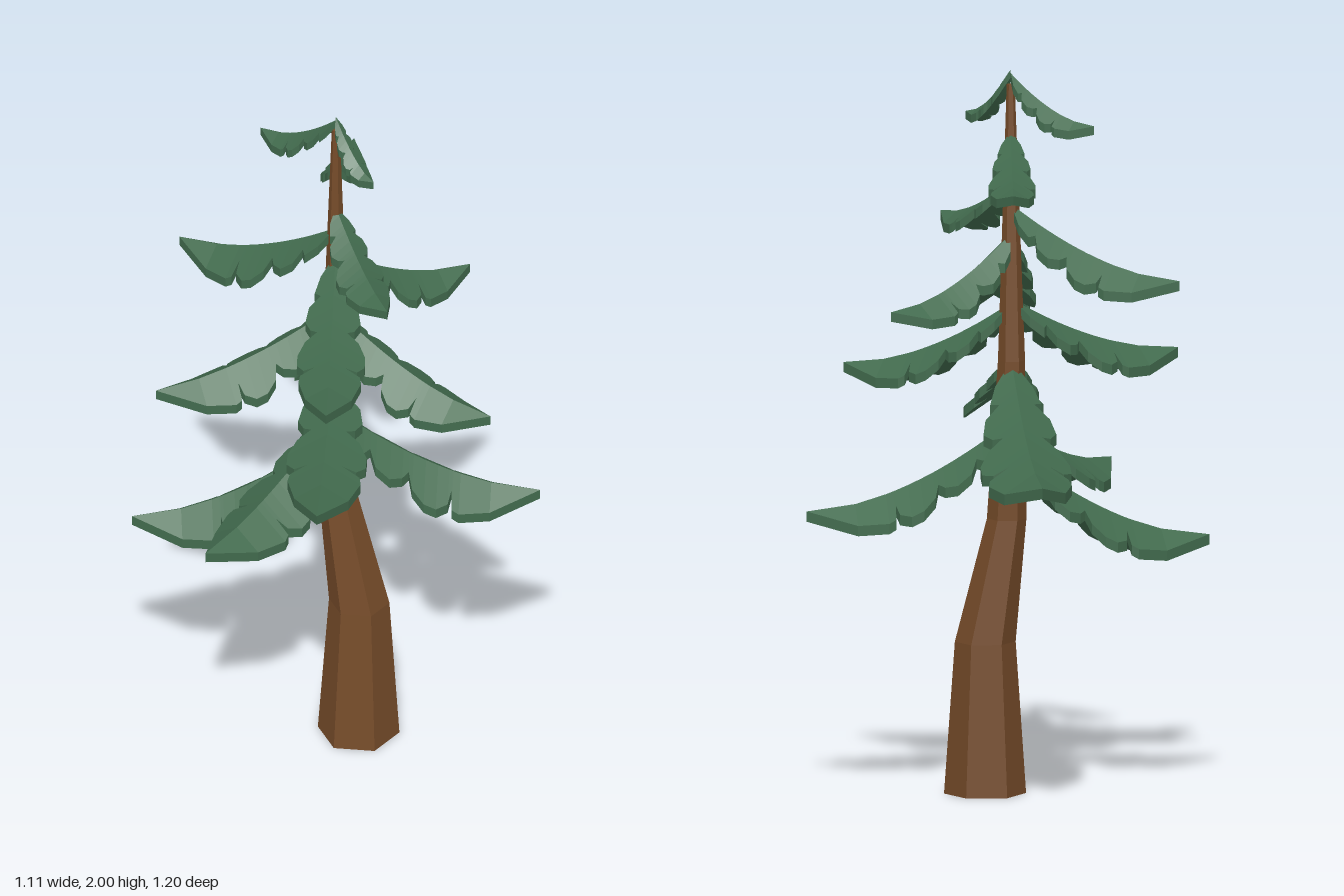
import * as THREE from 'three';

const bark = new THREE.MeshStandardMaterial({ color: 0x754b29, flatShading: true });
const needles = new THREE.MeshStandardMaterial({ color: 0x426b4e, flatShading: true });

// Trunk rings: height, centre x, centre z, radius
const RINGS = [
  [0, 0.06, 0.085, 0.112],
  [0.42, 0.06, 0.073, 0.083],
  [0.76, 0.002, 0.065, 0.054],
  [1.2, -0.01, 0.037, 0.037],
  [1.96, -0.008, 0.043, 0.011],
];

// Branches: root height, then tip x, y, z
const BRANCHES = [
  [0.96, -0.555, 0.70, 0.15],
  [1.03, 0.55, 0.79, 0.015],
  [1.04, -0.305, 0.86, 0.53],
  [1.20, -0.065, 0.94, -0.60],
  [1.21, 0.01, 1.06, 0.60],
  [1.36, 0.44, 1.17, 0.225],
  [1.37, -0.475, 1.20, 0.26],
  [1.54, 0.025, 1.34, 0.52],
  [1.55, 0.33, 1.37, -0.205],
  [1.63, -0.46, 1.44, -0.135],
  [1.70, 0.17, 1.57, 0.335],
  [1.83, 0, 1.70, -0.29],
  [1.99, -0.23, 1.86, -0.08],
  [2.0, 0.11, 1.87, 0.155],
];

// Half outline of a branch from root to tip: position along it, half width
const OUTLINE = [
  [0, 0], [0.07, 0.45], [0.14, 0.62], [0.17, 0.42], [0.2, 0.78], [0.27, 0.88], [0.33, 0.7],
  [0.36, 0.48], [0.38, 0.85], [0.44, 1.08], [0.5, 1.08], [0.555, 0.85],
  [0.57, 0.48], [0.575, 0.95], [0.61, 1], [0.76, 0.74], [1, 0],
];

function trunkGeometry() {
  const n = RINGS.length - 1;
  const geo = new THREE.CylinderGeometry(1, 1, n, 6, n, false, Math.PI / 2);
  const p = geo.attributes.position;
  for (let i = 0; i < p.count; i++) {
    const [y, x, z, r] = RINGS[Math.round(p.getY(i) + n / 2)];
    p.setXYZ(i, x + p.getX(i) * r, y, z + p.getZ(i) * r);
  }
  geo.computeVertexNormals();
  return geo;
}

// Centre of the trunk at a given height
function trunkCentre(y) {
  let i = 0;
  while (i < RINGS.length - 2 && RINGS[i + 1][0] < y) i++;
  const a = RINGS[i], b = RINGS[i + 1];
  const k = Math.min(1, (y - a[0]) / (b[0] - a[0]));
  return [a[1] + (b[1] - a[1]) * k, a[2] + (b[2] - a[2]) * k];
}

// Folded, drooping slab with notched edges, running along +z
function branchGeometry(length, drop) {
  const width = 0.178 * length;
  const thick = 0.02 + 0.015 * length;
  const pos = [];
  const ridge = ([t]) => [0, -drop * (1 - Math.pow(1 - t, 1.8)), t * length];
  const edge = (s, side) => {
    const [, y, z] = ridge(s);
    return [side * s[1] * width, y - 0.68 * s[1] * width, z];
  };
  const under = ([x, y, z]) => [x, y - thick, z];
  for (const side of [1, -1]) {
    const quad = (a, b, c, d) => {
      const q = side > 0 ? [a, b, c, a, c, d] : [a, c, b, a, d, c];
      q.forEach((v) => pos.push(...v));
    };
    for (let i = 0; i < OUTLINE.length - 1; i++) {
      const s0 = OUTLINE[i], s1 = OUTLINE[i + 1];
      const r0 = ridge(s0), r1 = ridge(s1);
      const e0 = edge(s0, side), e1 = edge(s1, side);
      quad(r0, r1, e1, e0); // top
      quad(under(e0), under(e1), under(r1), under(r0)); // underside
      quad(under(e0), e0, e1, under(e1)); // rim
    }
  }
  const geo = new THREE.BufferGeometry();
  geo.setAttribute('position', new THREE.Float32BufferAttribute(pos, 3));
  geo.computeVertexNormals();
  return geo;
}

export function createModel() {
  const tree = new THREE.Group();
  tree.name = 'conifer';

  const trunk = new THREE.Mesh(trunkGeometry(), bark);
  trunk.name = 'trunk';
  tree.add(trunk);

  const foliage = new THREE.Group();
  foliage.name = 'foliage';
  BRANCHES.forEach(([rootY, x, y, z], i) => {
    const [cx, cz] = trunkCentre(rootY);
    const dx = x - cx, dz = z - cz;
    const branch = new THREE.Mesh(branchGeometry(Math.hypot(dx, dz), rootY - y), needles);
    branch.name = `branch${i + 1}`;
    branch.position.set(cx, rootY, cz);
    branch.rotation.y = Math.atan2(dx, dz);
    foliage.add(branch);
  });
  tree.add(foliage);
  return tree;
}
